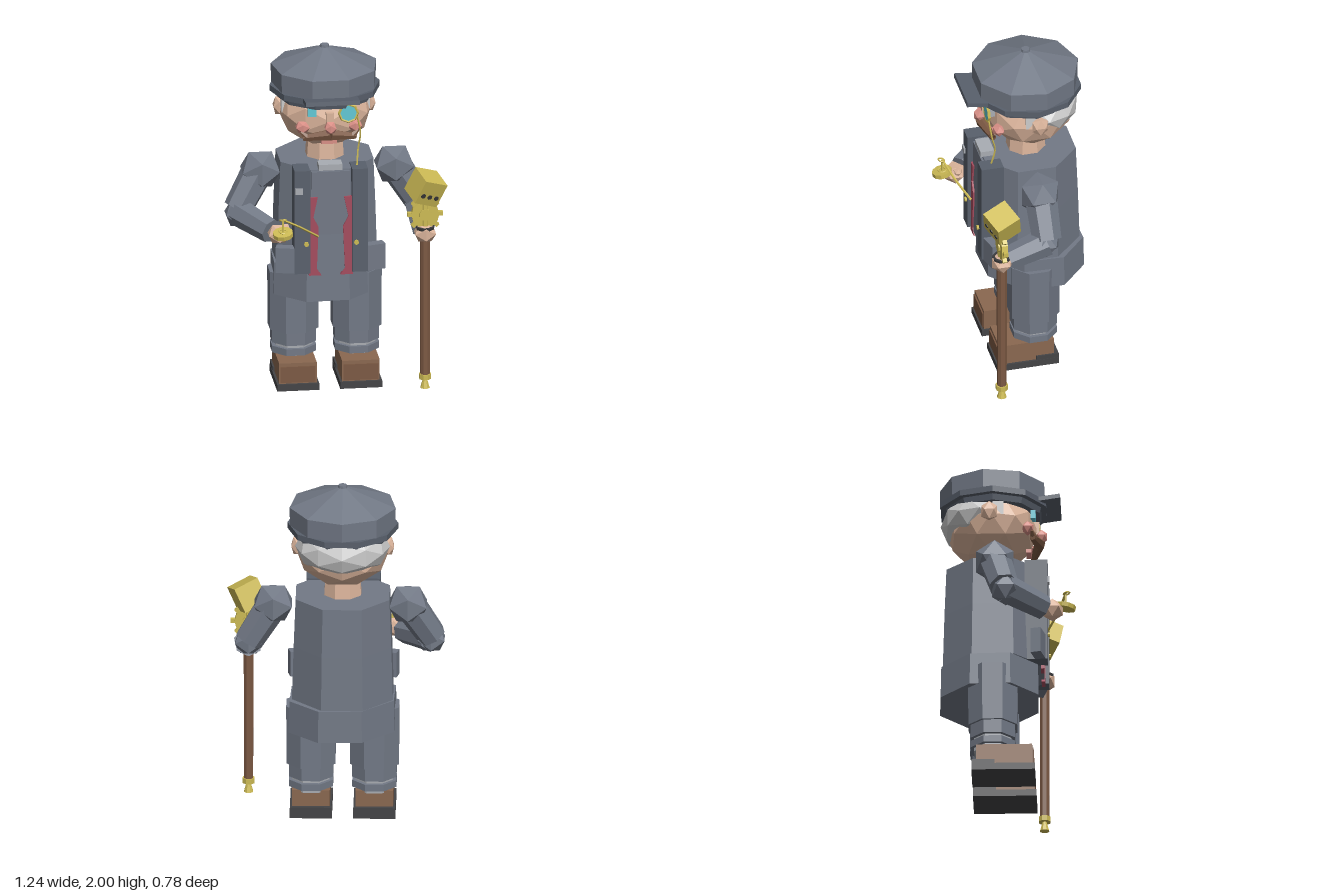
import * as THREE from 'three';

const CX = -0.035, CZ = -0.08; // centre line of the body
const mat = (color) => new THREE.MeshStandardMaterial({ color, flatShading: true, side: THREE.DoubleSide });
const cloth = mat(0x727986), dark = mat(0x59606c), skin = mat(0xdcb59c), pink = mat(0xd98f86);
const hairGrey = mat(0xc2c4c6), brass = mat(0xcdbb55), wood = mat(0x7c5943), leather = mat(0x8a6850);
const soleGrey = mat(0x444446), red = mat(0xa54c5e), glass = mat(0x62c8d6), white = mat(0xa9adb3);
const black = mat(0x3a3a3c);

export function createModel() {
  const root = new THREE.Group();
  const v = (p) => new THREE.Vector3(...p);

  function add(name, geo, m, pos = [0, 0, 0], rot = [0, 0, 0], scale = [1, 1, 1], parent = root) {
    const mesh = new THREE.Mesh(geo, m);
    mesh.name = name;
    mesh.position.set(...pos);
    mesh.rotation.set(...rot);
    mesh.scale.set(...scale);
    parent.add(mesh);
    return mesh;
  }
  const box = (name, m, size, pos, rot) => add(name, new THREE.BoxGeometry(...size), m, pos, rot);
  const ball = (name, m, r, pos, scale, detail = 0) =>
    add(name, new THREE.IcosahedronGeometry(r, detail), m, pos, [0, 0, 0], scale);
  // upright prism with a flat side to the front
  const prism = (name, m, rTop, rBottom, y0, y1, x, z, n = 8, scale) =>
    add(name, new THREE.CylinderGeometry(rTop, rBottom, y1 - y0, n), m,
      [x, (y0 + y1) / 2, z], [0, Math.PI / n, 0], scale);
  // cylinder between two points
  function limb(name, m, a, b, r0, r1, n = 7) {
    const A = v(a), B = v(b), d = B.clone().sub(A);
    const mesh = add(name, new THREE.CylinderGeometry(r1, r0, d.length(), n), m);
    mesh.position.copy(A).add(B).multiplyScalar(0.5);
    mesh.quaternion.setFromUnitVectors(new THREE.Vector3(0, 1, 0), d.normalize());
  }
  const chain = (name, pts, r) =>
    add(name, new THREE.TubeGeometry(new THREE.CatmullRomCurve3(pts.map(v)), 10, r, 5), brass);

  // coat body and skirt
  prism('coat', cloth, 0.288, 0.3, 1.05, 1.34, CX, CZ);
  prism('coat', cloth, 0.3, 0.31, 0.73, 1.05, CX, CZ);
  prism('coatSkirt', cloth, 0.325, 0.33, 0.54, 0.73, CX, -0.105, 8, [1, 1, 0.9]);
  prism('neck', skin, 0.105, 0.115, 1.32, 1.46, CX, CZ, 8);

  // waistcoat, collar and coat front
  box('waistcoat', cloth, [0.22, 0.6, 0.03], [CX, 1.03, 0.185]);
  box('collar', white, [0.135, 0.035, 0.08], [CX, 1.355, 0.16]);
  for (const s of [-1, 1]) {
    box('lapel', dark, [0.09, 0.62, 0.13], [CX + s * 0.165, 1.04, 0.165]);
    const strip = new THREE.Shape([[0.055, 0.71], [0.125, 0.71], [0.125, 1.18], [0.075, 1.18],
      [0.1, 1.06], [0.07, 1.0], [0.08, 0.75]].map(([x, y]) => new THREE.Vector2(s * x, y)));
    add('waistcoatEdge', new THREE.ExtrudeGeometry(strip, { depth: 0.02, bevelEnabled: false }), red, [CX, 0, 0.19]);
    box('pocketFlap', cloth, [0.13, 0.15, 0.06], [CX + s * 0.245, 0.805, 0.18], [0, s * 0.25, 0]);
    add('button', new THREE.CylinderGeometry(0.014, 0.014, 0.02, 8), brass, [CX + s * 0.143, 0.91, 0.232], [Math.PI / 2, 0, 0]);
  }
  box('pocketSquare', white, [0.045, 0.035, 0.02], [-0.22, 1.23, 0.23]);

  // legs and boots
  for (const s of [-1, 1]) {
    const x = CX + s * 0.18;
    prism('trouserLeg', cloth, 0.152, 0.15, 0.31, 0.66, x, CZ);
    prism('trouserHem', cloth, 0.136, 0.136, 0.23, 0.31, x, CZ);
    prism('sock', white, 0.115, 0.115, 0.15, 0.23, x, CZ);
    prism('trouserCuff', cloth, 0.136, 0.136, 0.17, 0.21, x, CZ);
    box('boot', leather, [0.215, 0.125, 0.32], [x, 0.1, -0.015]);
    box('toeCap', wood, [0.2, 0.095, 0.01], [x, 0.095, 0.148]);
    box('sole', soleGrey, [0.24, 0.04, 0.36], [x, 0.02, -0.02]);
    box('heel', soleGrey, [0.235, 0.065, 0.13], [x, 0.033, -0.135]);
  }

  // head and face
  ball('head', skin, 0.275, [CX, 1.62, CZ - 0.01], [0.98, 0.78, 0.95], 1);
  ball('hair', hairGrey, 0.27, [CX, 1.655, -0.155], [1.0, 0.6, 0.84], 1);
  for (const s of [-1, 1]) {
    ball('ear', skin, 0.06, [CX + s * 0.26, 1.635, -0.1], [0.6, 1.05, 0.9]);
    box('sideburn', hairGrey, [0.03, 0.12, 0.06], [CX + s * 0.238, 1.68, -0.05]);
    ball('cheek', pink, 0.045, [CX + s * 0.15, 1.575, 0.115], [1, 0.9, 0.9]);
    box('eye', s < 0 ? glass : white, [0.05, 0.05, 0.03], [CX + s * 0.1, 1.675, 0.145]);
    limb('moustache', wood, [CX, 1.545, 0.18], [CX + s * 0.15, 1.52, 0.145], 0.034, 0.018, 6);
    limb('moustacheTip', wood, [CX + s * 0.13, 1.525, 0.15], [CX + s * 0.165, 1.555, 0.14], 0.022, 0.008, 6);
  }
  ball('nose', pink, 0.042, [CX, 1.59, 0.19], [0.9, 1, 0.9]);
  box('noseBridge', skin, [0.045, 0.08, 0.05], [CX, 1.635, 0.155]);
  box('mouth', pink, [0.09, 0.022, 0.03], [CX, 1.485, 0.12]);

  // monocle and its chain
  add('monocleRim', new THREE.TorusGeometry(0.052, 0.009, 5, 8), brass, [0.07, 1.67, 0.172]);
  add('monocleLens', new THREE.CylinderGeometry(0.05, 0.05, 0.012, 8), glass, [0.07, 1.67, 0.172], [Math.PI / 2, 0, 0]);
  chain('monocleChain', [[0.12, 1.65, 0.175], [0.14, 1.54, 0.16], [0.13, 1.45, 0.14], [0.12, 1.35, 0.16]], 0.005);

  // flat cap
  const capProfile = [[0.001, 1.995], [0.3, 1.88], [0.298, 1.77], [0.001, 1.75]].map(([x, y]) => new THREE.Vector2(x, y));
  add('capCrown', new THREE.LatheGeometry(capProfile.reverse(), 9), cloth, [CX, 0, CZ], [0, 0.35, 0], [1.02, 1, 1.02]);
  prism('capBand', dark, 0.315, 0.315, 1.735, 1.77, CX, CZ, 10);
  prism('capLining', dark, 0.285, 0.275, 1.7, 1.74, CX, CZ, 10);
  box('capVisor', dark, [0.31, 0.025, 0.15], [CX, 1.765, 0.225], [-0.15, 0, 0]);
  add('capButton', new THREE.CylinderGeometry(0.025, 0.027, 0.015, 8), cloth, [CX, 1.993, CZ]);

  // right arm, bent towards the watch
  ball('shoulder', cloth, 0.125, [-0.405, 1.265, -0.065]);
  limb('upperArm', cloth, [-0.41, 1.27, -0.065], [-0.54, 1.05, -0.01], 0.095, 0.085);
  ball('elbow', cloth, 0.09, [-0.535, 1.03, 0]);
  limb('forearm', cloth, [-0.54, 1.04, -0.01], [-0.375, 0.99, 0.21], 0.085, 0.072);
  ball('hand', skin, 0.07, [-0.34, 0.99, 0.26], [1, 0.9, 1]);
  ball('thumb', skin, 0.028, [-0.3, 1.02, 0.25]);

  // left arm, holding the cane
  ball('shoulder', cloth, 0.125, [0.36, 1.265, -0.065]);
  limb('upperArm', cloth, [0.36, 1.27, -0.065], [0.5, 1.04, -0.07], 0.095, 0.085);
  ball('elbow', cloth, 0.09, [0.5, 1.03, -0.06]);
  limb('forearm', cloth, [0.5, 1.03, -0.07], [0.5, 0.95, 0.15], 0.085, 0.07);
  ball('hand', skin, 0.07, [0.505, 0.935, 0.195], [1, 0.9, 0.95]);

  // pocket watch
  add('watch', new THREE.CylinderGeometry(0.058, 0.058, 0.025, 10), brass, [-0.325, 1.015, 0.335], [0.2, 0, 0.1]);
  add('watchFace', new THREE.TorusGeometry(0.022, 0.005, 5, 10), brass, [-0.325, 1.03, 0.335], [Math.PI / 2 + 0.2, 0, 0]);
  limb('watchStem', brass, [-0.325, 1.02, 0.335], [-0.325, 1.09, 0.335], 0.006, 0.006, 6);
  add('watchLoop', new THREE.TorusGeometry(0.018, 0.005, 5, 8), brass, [-0.325, 1.1, 0.34], [1.3, 0, 0]);
  chain('watchChain', [[-0.325, 1.1, 0.335], [-0.22, 1.035, 0.29], [-0.11, 0.95, 0.22]], 0.007);

  // cane shaft, collar and ferrule
  const [kx, kz] = [0.505, 0.195];
  prism('caneShaft', wood, 0.03, 0.028, 0.08, 0.9, kx, kz);
  prism('caneCollar', black, 0.055, 0.05, 0.945, 0.975, kx, kz);
  prism('caneNeck', brass, 0.025, 0.025, 0.96, 1.14, kx, kz);
  prism('ferrule', brass, 0.036, 0.036, 0.055, 0.085, kx, kz);
  prism('caneTip', brass, 0.012, 0.028, 0, 0.055, kx, kz);

  // toothed wheel
  add('cog', new THREE.CylinderGeometry(0.08, 0.08, 0.035, 12), brass, [kx, 1.05, kz], [Math.PI / 2, 0, 0]);
  add('cogHub', new THREE.CylinderGeometry(0.035, 0.035, 0.055, 10), brass, [kx, 1.05, kz], [Math.PI / 2, 0, 0]);
  for (let i = 0; i < 8; i++) {
    const a = i * Math.PI / 4;
    box('cogTooth', brass, [0.03, 0.024, 0.025], [kx + 0.087 * Math.cos(a), 1.05 + 0.087 * Math.sin(a), kz], [0, 0, a]);
  }

  // tilted cube handle with inset spots
  const cube = new THREE.Group();
  cube.name = 'caneCube';
  cube.position.set(0.51, 1.21, 0.195);
  cube.rotation.set(0.3, 0.3, -0.45);
  root.add(cube);
  add('cube', new THREE.BoxGeometry(0.15, 0.15, 0.15), brass, [0, 0, 0], [0, 0, 0], [1, 1, 1], cube);
  for (const i of [-1, 0, 1])
    add('spot', new THREE.CylinderGeometry(0.015, 0.015, 0.006, 8), black,
      [i * 0.045, -0.02, 0.075], [Math.PI / 2, 0, 0], [1, 1, 1], cube);

  return root;
}
